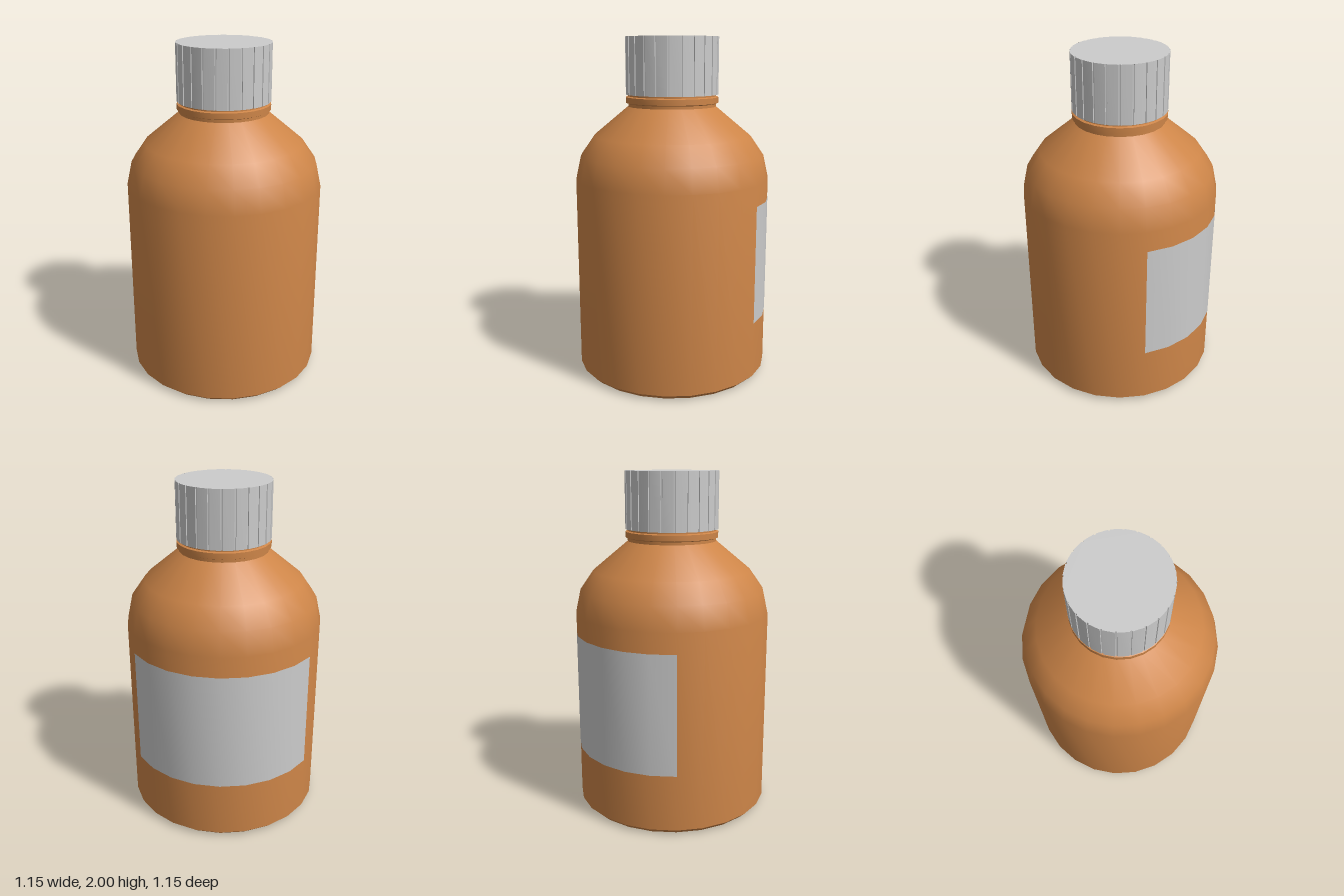
import * as THREE from 'three';
import { toCreasedNormals } from 'three/addons/utils/BufferGeometryUtils.js';

const SIDES = 24;
const RADIUS = 0.575;

const amber = new THREE.MeshStandardMaterial({ color: 0xcd8548 });
const grey = new THREE.MeshStandardMaterial({ color: 0xcccccc });
const labelGrey = new THREE.MeshStandardMaterial({ color: 0xcccccc, side: THREE.DoubleSide });

function part(name, geometry, material) {
  const mesh = new THREE.Mesh(toCreasedNormals(geometry, 0.6), material);
  mesh.name = name;
  return mesh;
}

function lathe(profile, segments = SIDES, start = 0, sweep = Math.PI * 2) {
  const points = profile.map(([r, y]) => new THREE.Vector2(r, y));
  return new THREE.LatheGeometry(points, segments, start, sweep);
}

// Outline of the cap: flat ribs separated by narrow grooves
function capGeometry(bottom, top) {
  const rib = 0.273, groove = 0.268;
  const steps = [[0, rib], [0.84, rib], [0.86, groove], [0.98, groove]];
  const outline = [];
  for (let i = 0; i < SIDES; i++) {
    for (const [t, r] of steps) {
      const a = ((i + t + 0.08) / SIDES) * Math.PI * 2;
      outline.push(new THREE.Vector2(r * Math.cos(a), r * Math.sin(a)));
    }
  }
  const geometry = new THREE.ExtrudeGeometry(new THREE.Shape(outline), {
    depth: top - bottom, bevelEnabled: false,
  });
  return geometry.rotateX(-Math.PI / 2).translate(0, bottom, 0);
}

export function createModel() {
  const bottle = new THREE.Group();
  bottle.name = 'bottle';

  // Body with chamfered base, rounded shoulder and neck
  bottle.add(part('body', lathe([
    [0, 0], [0.545, 0], [RADIUS, 0.028], [RADIUS, 1.18],
    [0.545, 1.315], [0.465, 1.43], [0.26, 1.6], [0.26, 1.69],
  ]), amber));

  // Collar ring around the neck
  bottle.add(part('neckRing', lathe([
    [0.255, 1.615], [0.273, 1.622], [0.273, 1.655], [0.255, 1.662],
  ]), amber));

  // Ribbed screw cap
  bottle.add(part('cap', capGeometry(1.67, 2), grey));

  // Label wrapped a third of the way round, between the back and the right
  const r = RADIUS + 0.0015;
  bottle.add(part('label', lathe(
    [[r, 0.36], [r, 1.06]], 8,
    THREE.MathUtils.degToRad(165), THREE.MathUtils.degToRad(120),
  ), labelGrey));

  return bottle;
}
